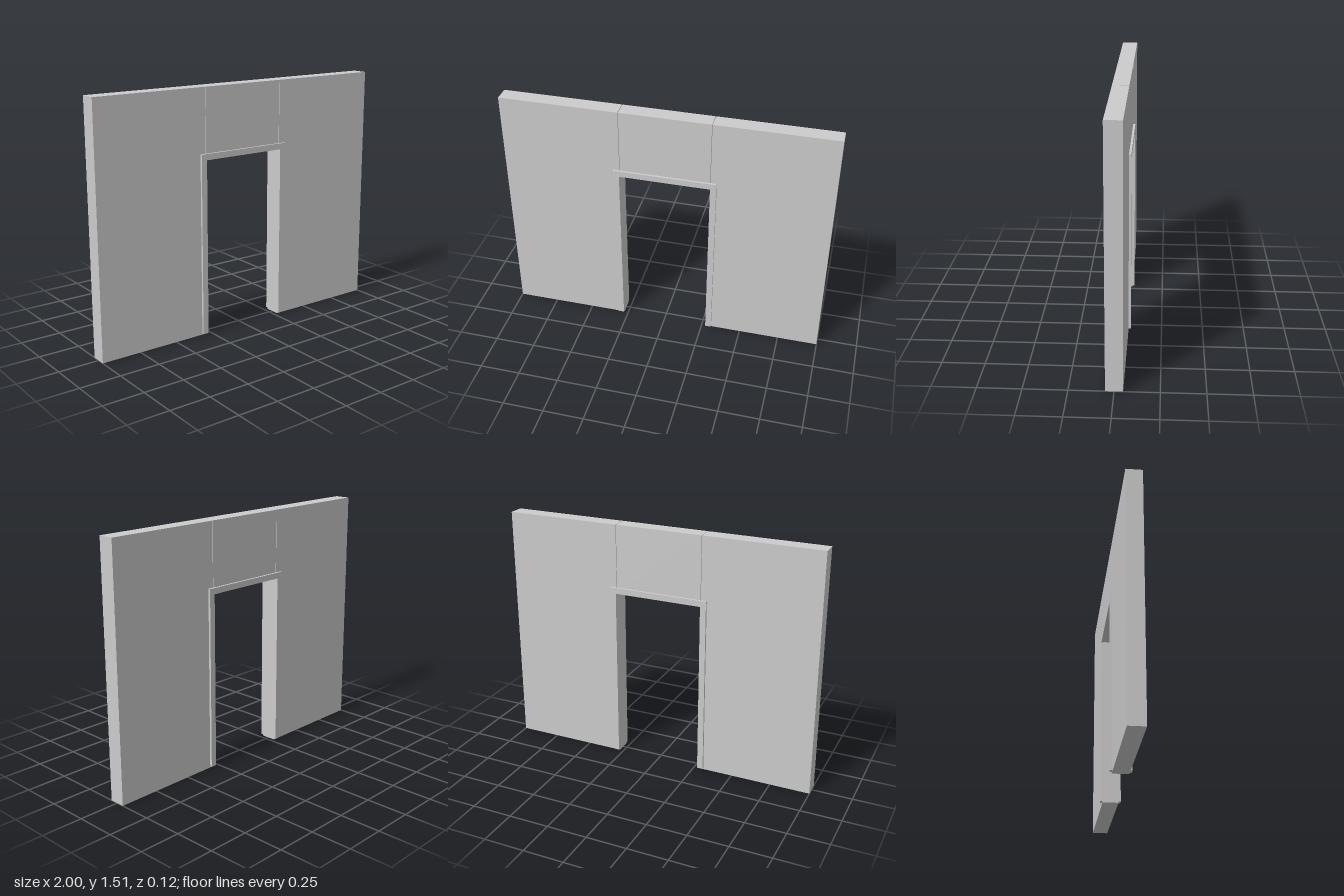
import * as THREE from 'three';

const W = 1, H = 1.514, D = 0.049;         // wall half width, height, half depth
const OPEN_X = 0.276, OPEN_Y = 1.087;      // doorway half width and height
const TRIM = 0.037, TRIM_Z = 0.0625;       // trim width and outer face
const SEAM = 0.003;                        // joint between panels

export function createModel() {
  const model = new THREE.Group();
  const material = new THREE.MeshStandardMaterial({ color: 0xcccccc, flatShading: true });

  // Box given by its limits on each axis
  const box = (name, x0, x1, y0, y1, z0, z1) => {
    const mesh = new THREE.Mesh(new THREE.BoxGeometry(x1 - x0, y1 - y0, z1 - z0), material);
    mesh.position.set((x0 + x1) / 2, (y0 + y1) / 2, (z0 + z1) / 2);
    mesh.name = name;
    model.add(mesh);
  };

  // Wall panels on both sides of the doorway and the panel above it
  box('rightWall', -W, -OPEN_X, 0, H, -D, D);
  box('leftWall', OPEN_X, W, 0, H, -D, D);
  box('lintelPanel', -OPEN_X + SEAM, OPEN_X - SEAM, OPEN_Y, H, -D, D);

  // Door trim on the front and back faces
  for (const [face, z0, z1] of [['front', D, TRIM_Z], ['back', -TRIM_Z, -D]]) {
    const out = OPEN_X + TRIM;
    box(face + 'RightTrim', -out, -OPEN_X, 0.008, OPEN_Y, z0, z1);
    box(face + 'LeftTrim', OPEN_X, out, 0.008, OPEN_Y, z0, z1);
    box(face + 'TopTrim', -out, out, OPEN_Y, OPEN_Y + TRIM, z0, z1);
  }
  return model;
}
